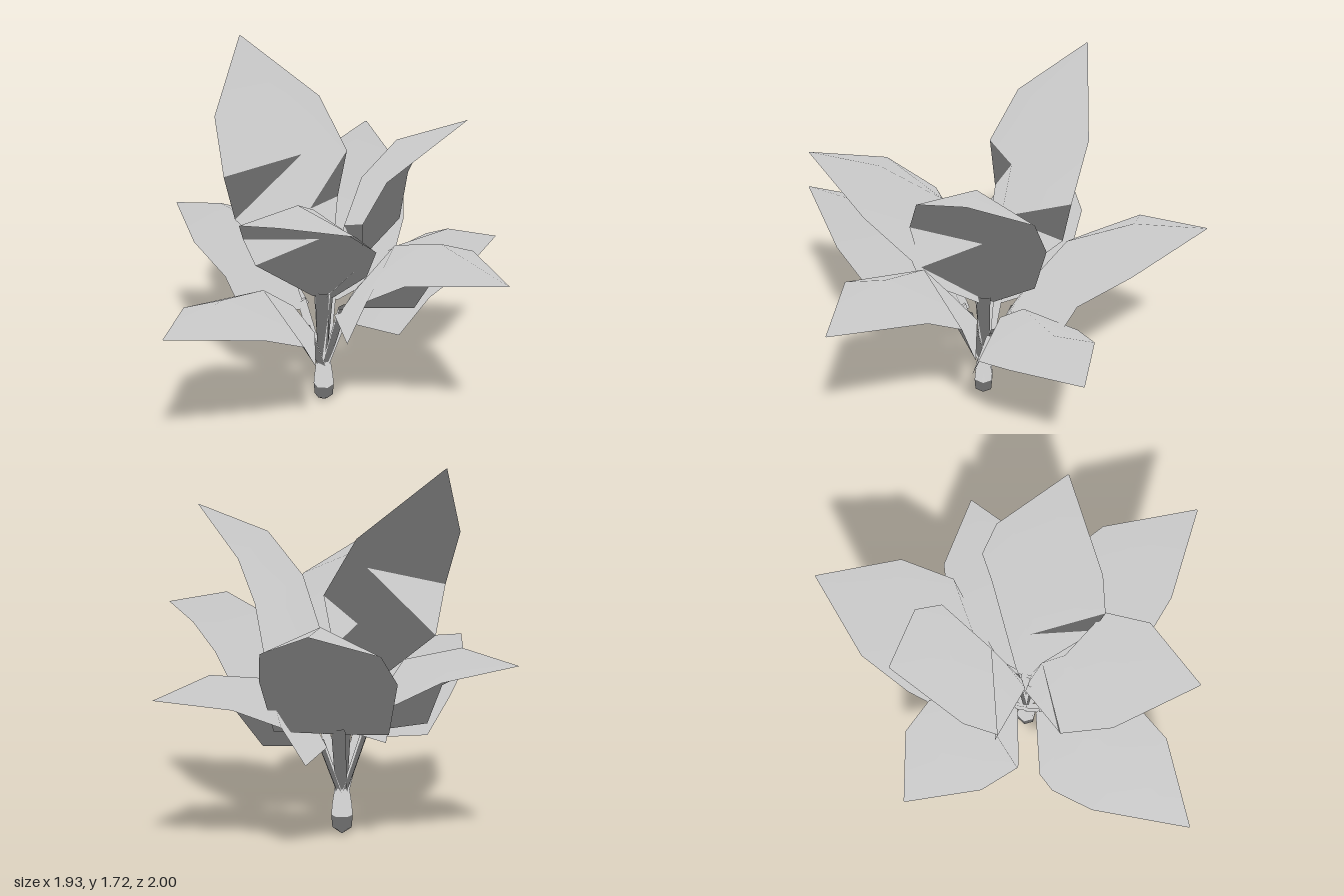
import * as THREE from 'three';

const material = new THREE.MeshStandardMaterial({ color: 0xcccccc, side: THREE.DoubleSide });

// Half width and edge droop for each row, from the leaf base to the tip
const HALF_WIDTH = [0.045, 0.245, 0.29, 0.245, 0.003];
const DROOP = [0, 0.26, 0.19, 0.12, 0];

// Foliage shading: normals point to the sky, leaning slightly away from the stem axis
function skyNormals(g) {
  const p = g.attributes.position;
  const n = new THREE.Vector3();
  const normals = [];
  for (let i = 0; i < p.count; i++) {
    n.set(p.getX(i) * 0.06, 1, p.getZ(i) * 0.06).normalize();
    normals.push(n.x, n.y, n.z);
  }
  g.setAttribute('normal', new THREE.Float32BufferAttribute(normals, 3));
  return g;
}

// A leaf blade growing along +z: ridge points are [outward, height]; the edges hang
// below the ridge, and skew pushes one edge outward and the other inward
function bladeGeometry(ridge, width, skew) {
  const pos = [];
  const index = [];
  ridge.forEach(([r, y], i) => {
    const a = ridge[Math.max(i - 1, 0)];
    const b = ridge[Math.min(i + 1, ridge.length - 1)];
    const tangent = new THREE.Vector2(b[0] - a[0], b[1] - a[1]).normalize();
    const w = HALF_WIDTH[i] * width;
    const edgeZ = r + DROOP[i] * tangent.y * 0.7;
    const edgeY = y - DROOP[i] * tangent.x;
    pos.push(-w, edgeY, edgeZ - skew * w, 0, y, r, w, edgeY, edgeZ + skew * w);
    if (i === 0) return;
    for (let k = 0; k < 2; k++) {
      const p = (i - 1) * 3 + k;
      const q = i * 3 + k;
      index.push(p, q, p + 1, p + 1, q, q + 1);
    }
  });
  const g = new THREE.BufferGeometry();
  g.setAttribute('position', new THREE.Float32BufferAttribute(pos, 3));
  g.setIndex(index);
  return skyNormals(g);
}

// A thin flattened stalk from the foot to the leaf base
function stalkGeometry([r, y]) {
  const from = new THREE.Vector3(0, 0.17, 0);
  const to = new THREE.Vector3(0, y + 0.03, r + 0.015);
  const dir = to.clone().sub(from);
  const g = new THREE.CylinderGeometry(0.034, 0.028, dir.length(), 5, 1, true);
  g.scale(1, 1, 0.4);
  g.applyQuaternion(new THREE.Quaternion().setFromUnitVectors(
    new THREE.Vector3(0, 1, 0), dir.normalize()));
  const mid = from.add(to).multiplyScalar(0.5);
  g.translate(mid.x, mid.y, mid.z);
  return skyNormals(g);
}

function part(name, geometry) {
  const mesh = new THREE.Mesh(geometry, material);
  mesh.name = name;
  return mesh;
}

// Each leaf: heading as [x, z], width factor, edge skew, ridge from base to tip
const LEAVES = [
  { name: 'frontLeaf', dir: [-0.04, 1.08], width: 1, skew: 0, ridge: [[0.12, 0.44], [0.22, 0.61], [0.43, 0.78], [0.7, 0.84], [1.08, 0.8]] },
  { name: 'leftLeaf', dir: [1.08, 0.1], width: 0.98, skew: 0, ridge: [[0.11, 0.53], [0.22, 0.7], [0.44, 0.99], [0.7, 1.08], [1.08, 1.0]] },
  { name: 'rightLeaf', dir: [-0.86, 0.08], width: 0.92, skew: 0, ridge: [[0.11, 0.49], [0.17, 0.64], [0.31, 0.85], [0.59, 0.925], [0.86, 0.865]] },
  { name: 'backLeftLeaf', dir: [0.46, -0.81], width: 0.89, skew: 0, ridge: [[0.1, 0.43], [0.16, 0.57], [0.38, 0.77], [0.66, 0.81], [0.93, 0.72]] },
  { name: 'backRightLeaf', dir: [-0.42, -0.92], width: 1.04, skew: 0, ridge: [[0.12, 0.5], [0.21, 0.69], [0.38, 0.95], [0.68, 1.08], [1.01, 1.09]] },
  { name: 'tallRightLeaf', dir: [-0.61, -0.15], width: 1.13, skew: 0.17, ridge: [[0.02, 0.64], [0.1, 1.0], [0.16, 1.26], [0.36, 1.51], [0.63, 1.72]] },
  { name: 'tallLeftLeaf', dir: [0.6, -0.29], width: 1.08, skew: 0.17, ridge: [[0.02, 0.58], [0.1, 0.96], [0.18, 1.21], [0.34, 1.41], [0.66, 1.53]] },
  { name: 'tallFrontLeaf', dir: [0.34, 0.75], width: 1.07, skew: 0, ridge: [[0.02, 0.58], [0.09, 0.92], [0.2, 1.12], [0.49, 1.27], [0.82, 1.31]] },
];

export function createModel() {
  const model = new THREE.Group();
  model.name = 'leafyPlant';

  const plant = new THREE.Group();
  plant.name = 'plant';
  plant.position.set(-0.11, 0, -0.08);
  model.add(plant);

  // Rounded foot of the stem
  const profile = [[0, 0], [0.045, 0.03], [0.05, 0.09], [0.046, 0.14], [0.034, 0.22], [0, 0.24]];
  const foot = new THREE.LatheGeometry(profile.map(([r, y]) => new THREE.Vector2(r, y)), 6);
  plant.add(part('stemFoot', skyNormals(foot)));

  // Two tiers of leaves around the stem
  for (const { name, dir, width, skew, ridge } of LEAVES) {
    const leaf = new THREE.Group();
    leaf.name = name;
    leaf.rotation.y = Math.atan2(dir[0], dir[1]);
    leaf.add(part('blade', bladeGeometry(ridge, width, skew)), part('stalk', stalkGeometry(ridge[0])));
    plant.add(leaf);
  }
  return model;
}
